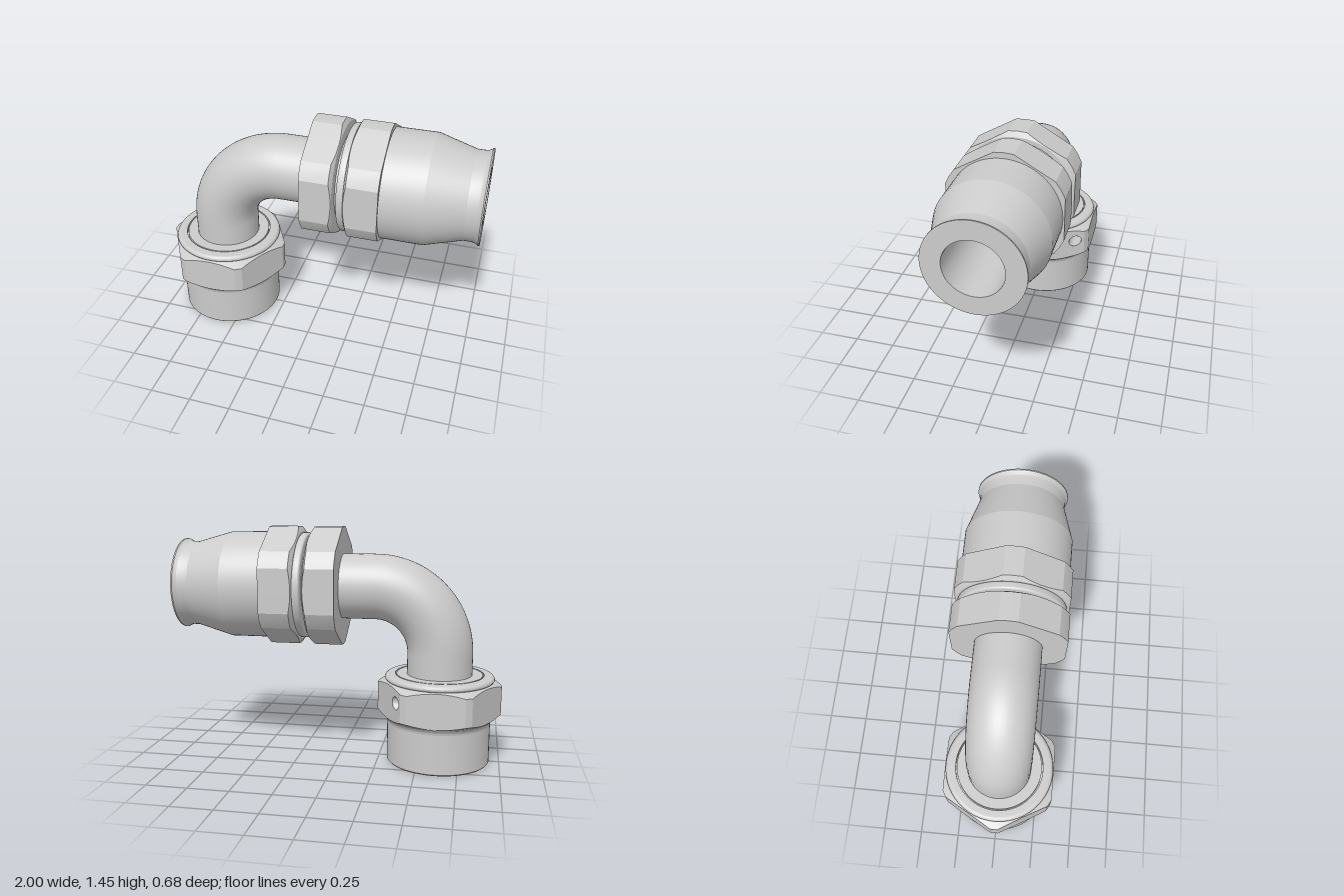
import * as THREE from 'three';
import { toCreasedNormals } from 'three/addons/utils/BufferGeometryUtils.js';

const AX = -0.62, AY = 1.08;      // axes of the vertical and the horizontal arm
const TUBE = 0.2, BORE = 0.168, BEND = 0.4;
const FLAT = 0.34;                // half the width across the hexagon flats
const CREASE = 0.22;

const grey = new THREE.MeshStandardMaterial({ color: 0xcccccc });
const greyDouble = new THREE.MeshStandardMaterial({ color: 0xcccccc, side: THREE.DoubleSide });

function part(name, geometry, material = grey) {
  const mesh = new THREE.Mesh(geometry, material);
  mesh.name = name;
  return mesh;
}

// Turned part from [radius, height] pairs, outside running upwards
function turned(name, points) {
  const geo = new THREE.LatheGeometry(points.map(p => new THREE.Vector2(...p)), 72);
  return part(name, toCreasedNormals(geo, CREASE));
}

// Rounded profile corner between two angles
function round(cx, cy, r, from, to) {
  return Array.from({ length: 9 }, (_, i) => {
    const a = THREE.MathUtils.degToRad(from + (to - from) * i / 8);
    return [cx + r * Math.cos(a), cy + r * Math.sin(a)];
  });
}

// Outline of a hexagon nut at an angle from the middle of a flat
function nutProfile(o, angle) {
  const r = Math.min(FLAT / Math.cos(angle), o.trim), lip = FLAT - 0.006;
  const drop = (r - lip) * 0.55;
  return [
    [o.inner, o.y0], [o.low ? lip : r, o.y0], [r, o.y0 + (o.low ? drop : 0)],
    [r, o.y1 - (o.high ? drop : 0)], [o.high ? lip : r, o.y1], [o.inner, o.y1],
  ];
}

// Angles across the flat itself, without the trimmed corners
function flatAngles(o) {
  const d = Math.acos(FLAT / o.trim);
  return Array.from({ length: 13 }, (_, i) => d * (i / 6 - 1));
}

// Hexagon nut with cone-chamfered ends; openFlat leaves one flat to be filled
function hexNut(name, o) {
  const local = [-Math.PI / 6, ...flatAngles(o)];
  const columns = [];
  for (let f = 0; f < 6; f++) {
    const centre = Math.PI / 6 + f * Math.PI / 3;
    local.forEach((a, k) => columns.push({
      open: f === o.openFlat && k > 0 && k < local.length - 1,
      points: nutProfile(o, a).map(([r, y]) =>
        [r * Math.cos(centre + a), y, r * Math.sin(centre + a)]),
    }));
  }
  const pos = [];
  columns.forEach((c, i) => {
    const n = columns[(i + 1) % columns.length];
    for (let j = 0; j < 5; j++) {
      if (c.open && j === 2) continue;
      const [a, b, d, e] = [c.points[j], c.points[j + 1], n.points[j + 1], n.points[j]];
      pos.push(...a, ...b, ...d, ...a, ...d, ...e);
    }
  });
  const geo = new THREE.BufferGeometry();
  geo.setAttribute('position', new THREE.Float32BufferAttribute(pos, 3));
  return part(name, toCreasedNormals(geo, CREASE));
}

// The flat with the wire hole, and the blind hole drilled along x
function drilledFlat(o) {
  const group = new THREE.Group();
  group.name = 'wireHole';
  const phi = -Math.PI / 6, hy = 0.42, hz = -0.26, hr = 0.039;
  const angles = flatAngles(o), outline = [];
  angles.forEach(a => outline.push(new THREE.Vector2(FLAT * Math.tan(a), nutProfile(o, a)[2][1])));
  angles.reverse().forEach(a => outline.push(new THREE.Vector2(FLAT * Math.tan(a), nutProfile(o, a)[3][1])));
  const shape = new THREE.Shape(outline);
  const u = -(hz + FLAT / 2) / Math.cos(phi);
  shape.holes.push(new THREE.Path().absellipse(u, hy, hr / Math.cos(phi), hr, 0, Math.PI * 2, true));
  const flat = part('drilledFlat', new THREE.ShapeGeometry(shape, 24).rotateY(Math.PI / 2 - phi)
    .translate(FLAT * Math.cos(phi), 0, FLAT * Math.sin(phi)));

  // Mouth of the hole follows the slanted flat
  const wall = new THREE.CylinderGeometry(hr, hr, 1, 32, 1, true).rotateZ(-Math.PI / 2).translate(0, hy, hz);
  const p = wall.attributes.position;
  for (let i = 0; i < p.count; i++) {
    p.setX(i, p.getX(i) > 0 ? (FLAT - p.getZ(i) * Math.sin(phi)) / Math.cos(phi) : 0.12);
  }
  const end = new THREE.CircleGeometry(hr, 32).rotateY(Math.PI / 2).translate(0.12, hy, hz);
  group.add(flat, part('holeWall', wall, greyDouble), part('holeEnd', end));
  return group;
}

export function createModel() {
  const model = new THREE.Group();
  model.name = 'elbowFitting';

  // Bent tube: quarter bend, its bore, and two straight ends
  const elbow = new THREE.Group();
  elbow.name = 'elbowTube';
  for (const [name, r, mat] of [['bend', TUBE, grey], ['bendBore', BORE, greyDouble]]) {
    const bend = part(name, new THREE.TorusGeometry(BEND, r, 48, 48, Math.PI / 2).rotateZ(Math.PI / 2), mat);
    bend.position.set(AX + BEND, AY - BEND, 0);
    elbow.add(bend);
  }
  const lower = part('lowerStraight', new THREE.CylinderGeometry(TUBE, TUBE, 0.18, 48, 1, true));
  lower.position.set(AX, 0.59, 0);
  const upper = part('upperStraight', new THREE.CylinderGeometry(TUBE, TUBE, 0.24, 48, 1, true).rotateZ(Math.PI / 2));
  upper.position.set(-0.10, AY, 0);
  elbow.add(lower, upper);
  model.add(elbow);

  // Swivel nut on the vertical arm
  const swivel = new THREE.Group();
  swivel.name = 'swivelNut';
  swivel.position.x = AX;
  const nut = { y0: 0.288, y1: 0.512, inner: 0.26, trim: 0.38, low: true, high: true, openFlat: 5 };
  swivel.add(
    turned('threadedSkirt', [
      [0.285, 0], [0.311, 0], [0.318, 0.008], [0.318, 0.252], [0.321, 0.265],
      [0.328, 0.278], [0.336, 0.288], [0.336, 0.292], [0.26, 0.292],
    ]),
    hexNut('swivelHexagon', nut),
    drilledFlat(nut),
    turned('collar', [
      [0.26, 0.505], [0.32, 0.505], ...round(0.318, 0.53, 0.018, -90, 0),
      ...round(0.312, 0.526, 0.024, 0, 90), [0.272, 0.55], [0.272, 0.52],
      [0.264, 0.52], [0.264, 0.55], [0.19, 0.55],
    ]),
    turned('swivelBore', [
      [BORE, 0.68], [BORE, 0.4], [0.25, 0.3], [0.275, 0.3], [0.275, 0.012], [0.285, 0],
    ]),
  );
  model.add(swivel);

  // Hose coupling on the horizontal arm, built upright and laid along +x
  const coupling = new THREE.Group();
  coupling.name = 'hoseCoupling';
  coupling.position.y = AY;
  coupling.rotation.z = -Math.PI / 2;
  coupling.add(
    hexNut('bodyHexagon', { y0: -0.02, y1: 0.17, inner: 0.19, trim: 0.365, high: true }),
    hexNut('socketHexagon', { y0: 0.235, y1: 0.435, inner: 0.25, trim: 0.365, low: true }),
    turned('neck', [[0.265, 0.165], [0.265, 0.2]]),
    turned('flange', [
      [0.25, 0.19], ...round(0.313, 0.203, 0.013, -90, 0),
      ...round(0.313, 0.225, 0.013, 0, 90), [0.25, 0.238],
    ]),
    turned('hoseSocket', [
      [0.33, 0.42], [0.33, 0.68], [0.268, 0.895], [0.265, 0.905], [0.265, 0.955],
      [0.268, 0.97], [0.275, 0.985], [0.281, 0.992], [0.281, 1], [BORE, 1], [BORE, -0.22],
    ]),
  );
  model.add(coupling);

  return model;
}
